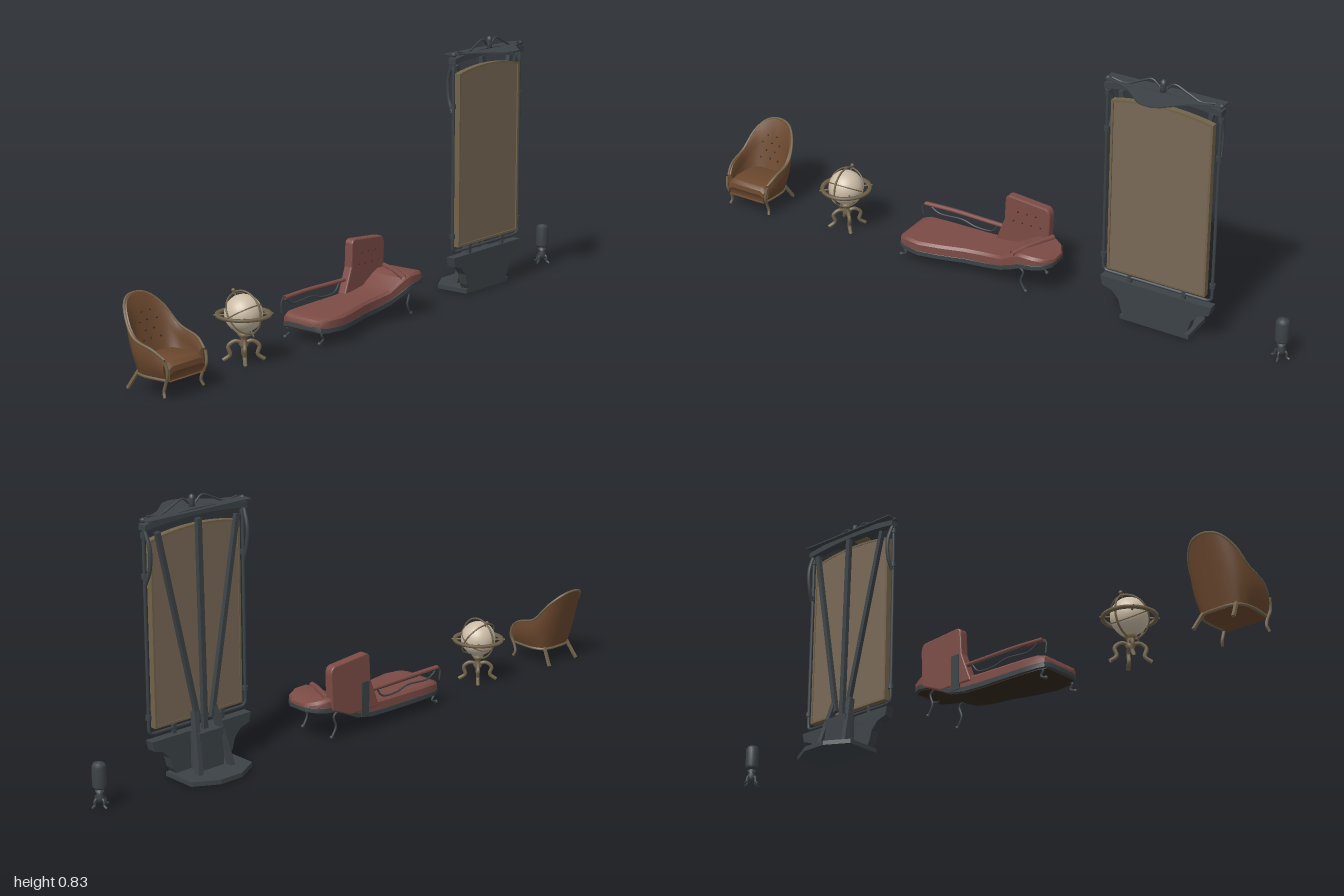
import * as THREE from 'three';
import { toCreasedNormals } from 'three/addons/utils/BufferGeometryUtils.js';

const paint = (color) => new THREE.MeshStandardMaterial({ color, side: THREE.DoubleSide });
const red = paint(0x7c4b45), leather = paint(0x6b482e), bronze = paint(0x71634a), iron = paint(0x3c4246);
const cream = paint(0xcbbca6), glass = paint(0x786855), dark = paint(0x34291f);
const V = (x, y, z) => new THREE.Vector3(x, y, z);

function add(parent, name, geo, mat, x = 0, y = 0, z = 0) {
  const m = new THREE.Mesh(geo, mat);
  m.name = name;
  m.position.set(x, y, z);
  parent.add(m);
  return m;
}
function group(parent, name, x, z) {
  const g = new THREE.Group();
  g.name = name;
  g.position.set(x, 0, z);
  parent.add(g);
  return g;
}
const curve = (pts) => new THREE.CatmullRomCurve3(pts.map((p) => V(...p)));
const tube = (pts, r, n = 24) => new THREE.TubeGeometry(curve(pts), n, r, 8);
const lathe = (pts, n = 16) => new THREE.LatheGeometry(pts.map((p) => new THREE.Vector2(...p)), n);
const box = (w, h, d) => new THREE.BoxGeometry(w, h, d);

// Skin a list of closed rings, with capped ends
function loft(rings, crease = 0.7) {
  const n = rings[0].length, pos = [], idx = [];
  rings.forEach((r) => r.forEach((p) => pos.push(p.x, p.y, p.z)));
  for (let i = 0; i < rings.length - 1; i++) for (let j = 0; j < n; j++) {
    const a = i * n + j, b = i * n + (j + 1) % n;
    idx.push(a, b, a + n, b, b + n, a + n);
  }
  const last = (rings.length - 1) * n;
  for (let j = 1; j < n - 1; j++) idx.push(0, j + 1, j, last, last + j, last + j + 1);
  const g = new THREE.BufferGeometry();
  g.setAttribute('position', new THREE.Float32BufferAttribute(pos, 3));
  g.setIndex(idx);
  return toCreasedNormals(g, crease);
}
// Outline given as half of a shape mirrored across its axis: [half width, height]
function mirrored(half) {
  const pts = [...half, ...half.slice().reverse().map(([a, b]) => [-a, b])];
  return new THREE.Shape(pts.map((p) => new THREE.Vector2(...p)));
}
// Upright plate, outline in (z, y), extruded along x
function upright(shape, x0, depth) {
  return new THREE.ExtrudeGeometry(shape, { depth, bevelEnabled: false }).rotateY(Math.PI / 2).translate(x0, 0, 0);
}
// Lying plate, outline in (z, x), extruded along y
function lying(half, depth) {
  const g = new THREE.ExtrudeGeometry(mirrored(half), { depth, bevelEnabled: false });
  return g.rotateX(-Math.PI / 2).rotateY(-Math.PI / 2);
}
function bar(parent, name, a, b, w, d, mat) {
  const m = add(parent, name, box(w, a.distanceTo(b), d), mat);
  m.position.copy(a).add(b).multiplyScalar(0.5);
  m.quaternion.setFromUnitVectors(V(0, 1, 0), b.clone().sub(a).normalize());
}

function armchair(root) {
  const g = group(root, 'armchair', 0, 0.9);
  const both = (h) => [...h.map(([x, y, z]) => [x, y, -z]), [h.top[0], h.top[1], 0], ...h.slice().reverse()];
  const rimHalf = Object.assign([[0.068, 0.11, 0.079], [0.035, 0.133, 0.089], [-0.035, 0.157, 0.091], [-0.082, 0.212, 0.075], [-0.112, 0.246, 0.042]], { top: [-0.12, 0.255] });
  const footHalf = Object.assign([[0.064, 0.05, 0.07], [0.03, 0.05, 0.074], [-0.02, 0.05, 0.074], [-0.05, 0.05, 0.06], [-0.06, 0.05, 0.035]], { top: [-0.062, 0.05] });
  const rim = curve(both(rimHalf)), foot = curve(both(footHalf));
  // Curved shell wrapping the sides and back
  const rings = [];
  for (let i = 0; i <= 40; i++) {
    const a = foot.getPoint(i / 40), b = rim.getPoint(i / 40), outer = [], inner = [];
    for (let k = 0; k <= 6; k++) {
      const p = a.clone().lerp(b, k / 6), s = 1 + 0.1 * Math.sin(Math.PI * k / 6);
      p.z *= s;
      outer.push(p);
      const away = V(0.03 - p.x, 0, -p.z).normalize().multiplyScalar(k === 6 ? 0.008 : 0.015);
      inner.unshift(p.clone().add(away));
    }
    rings.push([...outer, ...inner]);
  }
  add(g, 'chairShell', loft(rings), leather);
  add(g, 'rimPiping', new THREE.TubeGeometry(rim, 50, 0.004, 6), bronze);
  add(g, 'lowerRail', new THREE.TubeGeometry(foot, 50, 0.005, 6), bronze);
  // Seat block and rounded cushion
  const seat = [-0.055, -0.03, 0.03, 0.066, 0.078, 0.08, 0.07].map((x, i) => {
    const t = [0.095, 0.1, 0.104, 0.1, 0.09, 0.075, 0.06][i], w = i ? 0.07 : 0.055;
    return [V(x, 0.048, -w), V(x, t - 0.008, -w), V(x, t, -w * 0.8), V(x, t, w * 0.8), V(x, t - 0.008, w), V(x, 0.048, w)];
  });
  add(g, 'seat', loft(seat), leather);
  // Buttons on the inner back
  for (let r = 0; r < 4; r++) for (let c = 0; c < 3 - r % 2; c++) {
    const y = 0.135 + r * 0.025, z = (c - (2 - r % 2) / 2) * 0.034;
    add(g, 'backButton', new THREE.SphereGeometry(0.003, 8, 6), dark, -0.044 - (y - 0.05) * 0.283 + 0.011 + Math.abs(z) * 0.15, y, z);
  }
  for (const s of [-1, 1]) {
    add(g, 'frontLeg', tube([[0.072, 0.105, s * 0.081], [0.078, 0.07, s * 0.077], [0.066, 0.04, s * 0.073], [0.06, 0.018, s * 0.074], [0.066, 0.003, s * 0.078]], 0.0045), bronze);
    bar(g, 'rearLeg', V(-0.086, 0, s * 0.066), V(-0.052, 0.056, s * 0.055), 0.008, 0.009, bronze);
  }
}

function globe(root) {
  const g = group(root, 'globeOnStand', -0.014, 0.565);
  add(g, 'horizonRing', lathe([[0.071, 0.135], [0.082, 0.135], [0.082, 0.143], [0.071, 0.143], [0.071, 0.135]], 40), bronze);
  const tilted = group(g, 'tiltedGlobe', 0, 0);
  tilted.position.y = 0.142;
  tilted.rotation.z = 0.55;
  add(tilted, 'sphere', new THREE.SphereGeometry(0.056, 32, 20), cream);
  add(tilted, 'meridianRing', new THREE.TorusGeometry(0.066, 0.003, 6, 40), bronze);
  add(tilted, 'crossRing', new THREE.TorusGeometry(0.064, 0.0025, 6, 40), bronze).rotation.y = Math.PI / 2;
  add(tilted, 'equatorBand', new THREE.TorusGeometry(0.057, 0.002, 6, 40), bronze).rotation.x = Math.PI / 2;
  add(tilted, 'axis', new THREE.CylinderGeometry(0.0025, 0.0025, 0.148, 8), bronze);
  add(tilted, 'axisKnob', new THREE.SphereGeometry(0.006, 10, 8), bronze, 0, 0.073, 0);
  for (let i = 0; i < 4; i++) {
    const turn = group(g, 'standQuarter', 0, 0);
    turn.rotation.y = i * Math.PI / 2 + Math.PI / 4;
    add(turn, 'ringPin', tube([[0.056, 0.139, 0], [0.086, 0.139, 0]], 0.003, 2), bronze);
    add(turn, 'standLeg', tube([[0.005, 0.056, 0], [0.026, 0.06, 0], [0.045, 0.045, 0], [0.04, 0.02, 0], [0.06, 0.004, 0]], 0.006), bronze);
  }
  add(g, 'standColumn', lathe([[0, 0.035], [0.009, 0.04], [0.015, 0.052], [0.008, 0.064], [0.014, 0.074], [0.02, 0.084], [0, 0.086]]), bronze);
}

function chaise(root) {
  const g = group(root, 'chaiseLongue', 0, 0);
  // Stations along z: [z, left x, right x, bottom y, top y]
  const stations = [[0.315, -0.06, 0.035, 0.054, 0.066], [0.308, -0.082, 0.058, 0.05, 0.075], [0.285, -0.092, 0.07, 0.048, 0.08], [0.23, -0.095, 0.079, 0.048, 0.081], [0.16, -0.095, 0.066, 0.048, 0.082], [0.08, -0.095, 0.044, 0.048, 0.083], [0.01, -0.095, 0.036, 0.05, 0.085],
    [-0.05, -0.095, 0.042, 0.062, 0.094], [-0.1, -0.095, 0.055, 0.086, 0.125], [-0.125, -0.095, 0.061, 0.1, 0.136], [-0.17, -0.094, 0.06, 0.106, 0.135], [-0.2, -0.078, 0.047, 0.108, 0.13], [-0.22, -0.045, 0.018, 0.11, 0.121]];
  const ring = ([z, l, r, b, t], e) => [V(l, b, z), V(l, t - e, z), V(l + e, t, z), V(r - e, t, z), V(r, t - e, z), V(r, b, z)];
  add(g, 'seatCushion', loft(stations.map((s) => ring(s, 0.008))), red);
  add(g, 'seatFrame', loft(stations.map(([z, l, r, b]) => ring([z, l - 0.002, r + 0.002, b - 0.012, b + 0.003], 0.001))), iron);
  add(g, 'underPanel', loft(stations.slice(1, -1).map(([z, l, r, b]) => ring([z, l + 0.008, r - 0.008, b - 0.014, b - 0.01], 0.001))), dark);
  // Upholstered back, standing along the left edge of the seat
  const outline = new THREE.Shape();
  outline.moveTo(-0.035, 0.07);
  outline.quadraticCurveTo(-0.015, 0.12, 0.0, 0.16);
  outline.lineTo(0.004, 0.232);
  outline.quadraticCurveTo(0.006, 0.244, 0.02, 0.243);
  outline.lineTo(0.135, 0.233);
  outline.quadraticCurveTo(0.158, 0.234, 0.155, 0.2);
  outline.lineTo(0.15, 0.1);
  outline.lineTo(0.08, 0.07);
  const back = new THREE.ExtrudeGeometry(outline, { depth: 0.022, bevelSize: 0.004, bevelThickness: 0.004, bevelSegments: 2 });
  add(g, 'backrest', back.rotateY(Math.PI / 2), red, -0.095);
  for (let i = 0; i < 7; i++) add(g, 'backButton', new THREE.SphereGeometry(0.003, 8, 6), dark, -0.069, i % 2 ? 0.2 : 0.165, -0.03 - i * 0.016);
  // Roll laid across the head end
  add(g, 'headRoll', tube([[-0.085, 0.138, -0.165], [0, 0.136, -0.125], [0.056, 0.128, -0.098]], 0.009), red);
  // Padded side rail on open scrollwork
  const pad = add(g, 'railPad', tube([[-0.084, 0.124, 0.305], [-0.088, 0.126, 0.2], [-0.088, 0.124, 0.1], [-0.088, 0.122, 0]], 0.009), red);
  pad.scale.y = 0.7;
  pad.position.y = 0.037;
  add(g, 'sideRail', tube([[-0.085, 0.08, 0.315], [-0.085, 0.118, 0.315], [-0.09, 0.119, 0.2], [-0.09, 0.118, 0.01]], 0.003), iron);
  add(g, 'railScroll', tube([[-0.09, 0.115, 0.29], [-0.09, 0.098, 0.26], [-0.09, 0.1, 0.17], [-0.09, 0.088, 0.12], [-0.09, 0.092, 0.06], [-0.09, 0.116, 0.04]], 0.003), iron);
  bar(g, 'backSupport', V(-0.097, 0.05, -0.02), V(-0.1, 0.16, -0.02), 0.006, 0.03, iron);
  // Curved legs with ball feet
  for (const [x, z, top, s] of [[-0.078, 0.285, 0.04, 1], [0.055, 0.285, 0.04, 1], [-0.082, -0.12, 0.09, -1], [0.048, -0.12, 0.09, -1]]) {
    add(g, 'leg', tube([[x, top, z - s * 0.015], [x, top * 0.8, z + s * 0.014], [x, top * 0.4, z + s * 0.006], [x, 0.006, z + s * 0.022]], 0.0035), iron);
    add(g, 'footBall', new THREE.SphereGeometry(0.006, 10, 8), iron, x, 0.006, z + s * 0.024);
  }
  add(g, 'headScroll', tube([[0.01, 0.1, -0.17], [0.01, 0.09, -0.195], [0.01, 0.1, -0.21]], 0.003), iron);
}

function standingMirror(root) {
  const g = group(root, 'standingMirror', 0, -0.578);
  add(g, 'basePlate', lying([[0.115, 0.03], [0.115, -0.085], [0.04, -0.128]], 0.014), iron);
  add(g, 'flaredPedestal', upright(mirrored([[0.1, 0.012], [0.112, 0.03], [0.122, 0.065], [0.145, 0.09], [0.178, 0.1], [0.185, 0.13]]), 0.0, 0.03), iron);
  for (const s of [-1, 1]) bar(g, 'rearButtress', V(-0.055, 0.01, s * 0.06), V(-0.008, 0.19, s * 0.035), 0.02, 0.016, iron);
  add(g, 'rearBlock', box(0.05, 0.12, 0.09), iron, -0.015, 0.07);
  // Glass with an arched top, and its border
  const arch = (w, y0, y1, rise) => {
    const s = new THREE.Shape();
    s.moveTo(-w, y0);
    s.lineTo(w, y0);
    s.lineTo(w, y1);
    s.quadraticCurveTo(0, y1 + rise * 2, -w, y1);
    return s;
  };
  const border = arch(0.163, 0.162, 0.722, 0.018);
  border.holes.push(arch(0.156, 0.169, 0.716, 0.018));
  add(g, 'glass', upright(arch(0.161, 0.164, 0.72, 0.018), 0.014, 0.014), glass);
  add(g, 'glassBorder', upright(border, 0.012, 0.02), bronze);
  // Outer tube frame with corner collars
  add(g, 'tubeFrame', new THREE.TubeGeometry(new THREE.CatmullRomCurve3([V(0.02, 0.765, 0.181), V(0.02, 0.16, 0.181), V(0.02, 0.147, 0.165), V(0.02, 0.147, -0.165), V(0.02, 0.16, -0.181), V(0.02, 0.765, -0.181)], false, 'catmullrom', 0.05), 120, 0.005, 8), iron);
  for (const s of [-1, 1]) {
    for (const y of [0.2, 0.62, 0.74]) add(g, 'collar', new THREE.CylinderGeometry(0.009, 0.009, 0.014, 10), iron, 0.02, y, s * 0.181);
    bar(g, 'rearStrut', V(-0.012, 0.16, s * 0.025), V(0.004, 0.745, s * 0.145), 0.014, 0.014, iron);
    add(g, 'sideBracket', tube([[0.015, 0.76, s * 0.181], [-0.004, 0.7, s * 0.178], [0.0, 0.64, s * 0.178], [0.015, 0.6, s * 0.181]], 0.006), iron);
    bar(g, 'lowerPost', V(0.02, 0.12, s * 0.09), V(0.02, 0.165, s * 0.09), 0.01, 0.012, iron);
    // Crest scrollwork
    add(g, 'crestScroll', tube([[0.026, 0.79, s * 0.165], [0.026, 0.784, s * 0.12], [0.026, 0.8, s * 0.08], [0.026, 0.817, s * 0.035], [0.026, 0.8, s * 0.012]], 0.0035), iron);
    add(g, 'cornerKnob', new THREE.SphereGeometry(0.008, 10, 8), iron, 0.02, 0.783, s * 0.181);
  }
  bar(g, 'rearPost', V(-0.01, 0.12, 0), V(0.0, 0.76, 0), 0.014, 0.016, iron);
  // Arched top rail and overhanging canopy
  add(g, 'topRail', upright(mirrored([[0.187, 0.745], [0.187, 0.768], [0.1, 0.78], [0.0, 0.788]].concat([[0.0, 0.765], [0.1, 0.758]]).slice(0, 4).concat([])), 0.006, 0.028), iron).visible = false;
  const rail = new THREE.Shape();
  rail.moveTo(-0.187, 0.755);
  rail.quadraticCurveTo(0, 0.782, 0.187, 0.755);
  rail.lineTo(0.187, 0.772);
  rail.quadraticCurveTo(0, 0.806, -0.187, 0.772);
  g.remove(g.getObjectByName('topRail'));
  add(g, 'topRail', upright(rail, 0.004, 0.028), iron);
  add(g, 'canopy', lying([[0.187, -0.012], [0.187, 0.03], [0.14, 0.04], [0.1, 0.06], [0.065, 0.092], [0.035, 0.12], [0.012, 0.129]], 0.004), iron, 0, 0.782);
  add(g, 'canopyLamp', new THREE.SphereGeometry(0.028, 20, 8, 0, Math.PI * 2, Math.PI / 2, Math.PI / 2), bronze, 0.062, 0.782).scale.y = 0.35;
  add(g, 'crestFinial', lathe([[0, 0.785], [0.01, 0.787], [0.007, 0.8], [0.01, 0.812], [0.008, 0.821], [0, 0.826]]), iron, 0.027);
}

function canister(root) {
  const g = group(root, 'canisterLamp', -0.022, -0.97);
  add(g, 'canister', lathe([[0, 0.055], [0.016, 0.057], [0.021, 0.064], [0.021, 0.122], [0.016, 0.131], [0, 0.136]], 20), iron);
  add(g, 'neck', lathe([[0, 0.014], [0.009, 0.016], [0.016, 0.03], [0.009, 0.04], [0.014, 0.05], [0, 0.057]]), iron);
  for (let i = 0; i < 4; i++) {
    const turn = group(g, 'footQuarter', 0, 0);
    turn.rotation.y = i * Math.PI / 2;
    add(turn, 'foot', tube([[0.005, 0.03, 0], [0.017, 0.024, 0], [0.02, 0.008, 0], [0.028, 0.004, 0]], 0.004, 12), iron);
  }
}

export function createModel() {
  const root = new THREE.Group();
  root.name = 'furnitureSet';
  [armchair, globe, chaise, standingMirror, canister].forEach((build) => build(root));
  return root;
}
